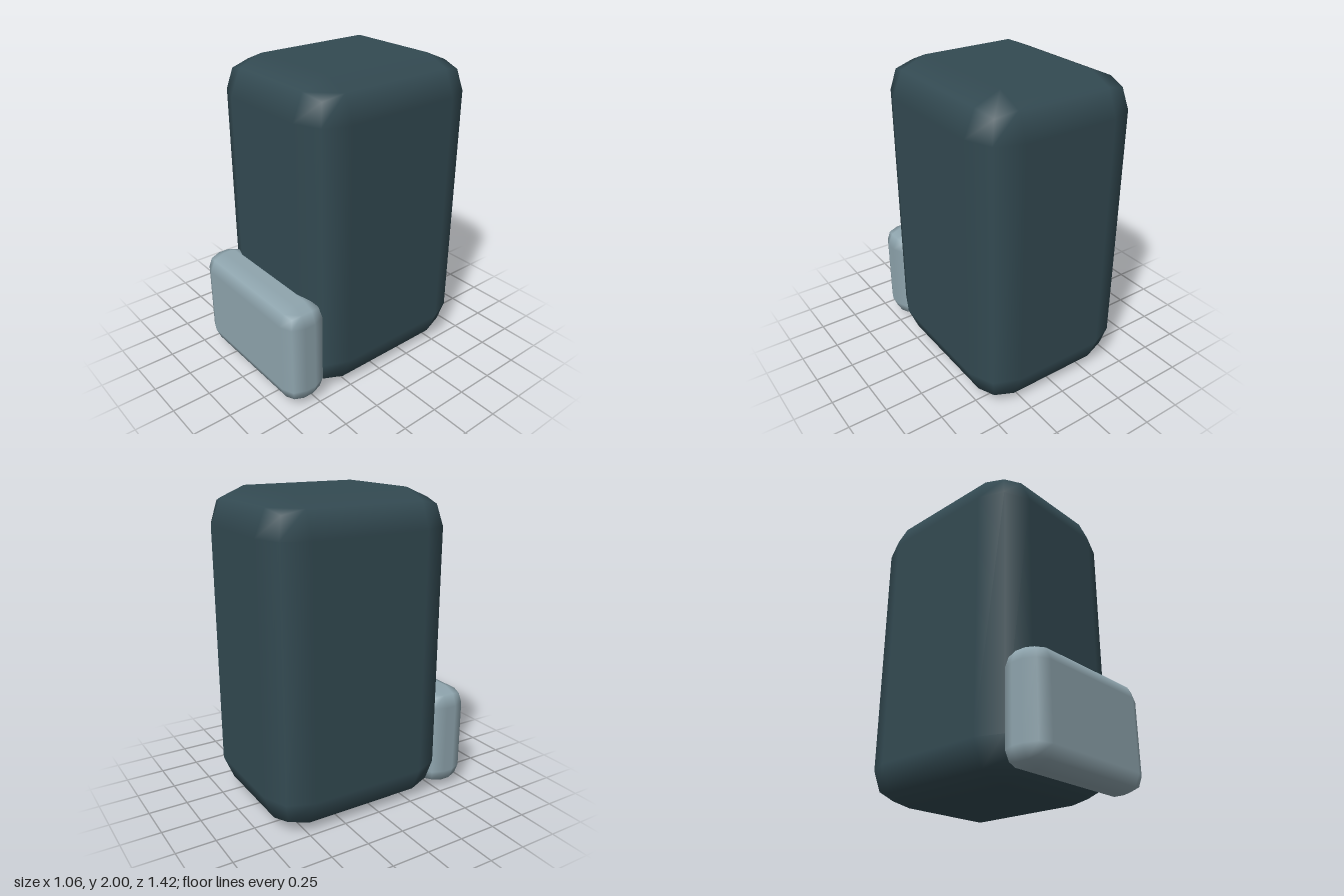
import * as THREE from 'three';
import { RoundedBoxGeometry } from 'three/addons/geometries/RoundedBoxGeometry.js';

const bodyMaterial = new THREE.MeshStandardMaterial({ color: 0x334a52 });
bodyMaterial.name = 'dark slate';
const pocketMaterial = new THREE.MeshStandardMaterial({ color: 0x8fa5ae });
pocketMaterial.name = 'pale blue grey';

// Smooth-shaded box with two-step rounded edges, placed by its extents
function softBox(name, min, max, radius, material) {
  const size = max.map((v, i) => v - min[i]);
  const mesh = new THREE.Mesh(new RoundedBoxGeometry(...size, 1, radius), material);
  mesh.position.set(...min.map((v, i) => (v + max[i]) / 2));
  mesh.name = name;
  return mesh;
}

export function createModel() {
  const model = new THREE.Group();
  model.name = 'backpack';
  model.add(
    // tall main compartment
    softBox('body', [-0.532, 0, -0.708], [0.532, 2, 0.515], 0.227, bodyMaterial),
    // low pocket, partly sunk into the front of the body
    softBox('frontPocket', [-0.498, 0.028, 0.418], [0.498, 0.705, 0.708], 0.11, pocketMaterial),
  );
  return model;
}
